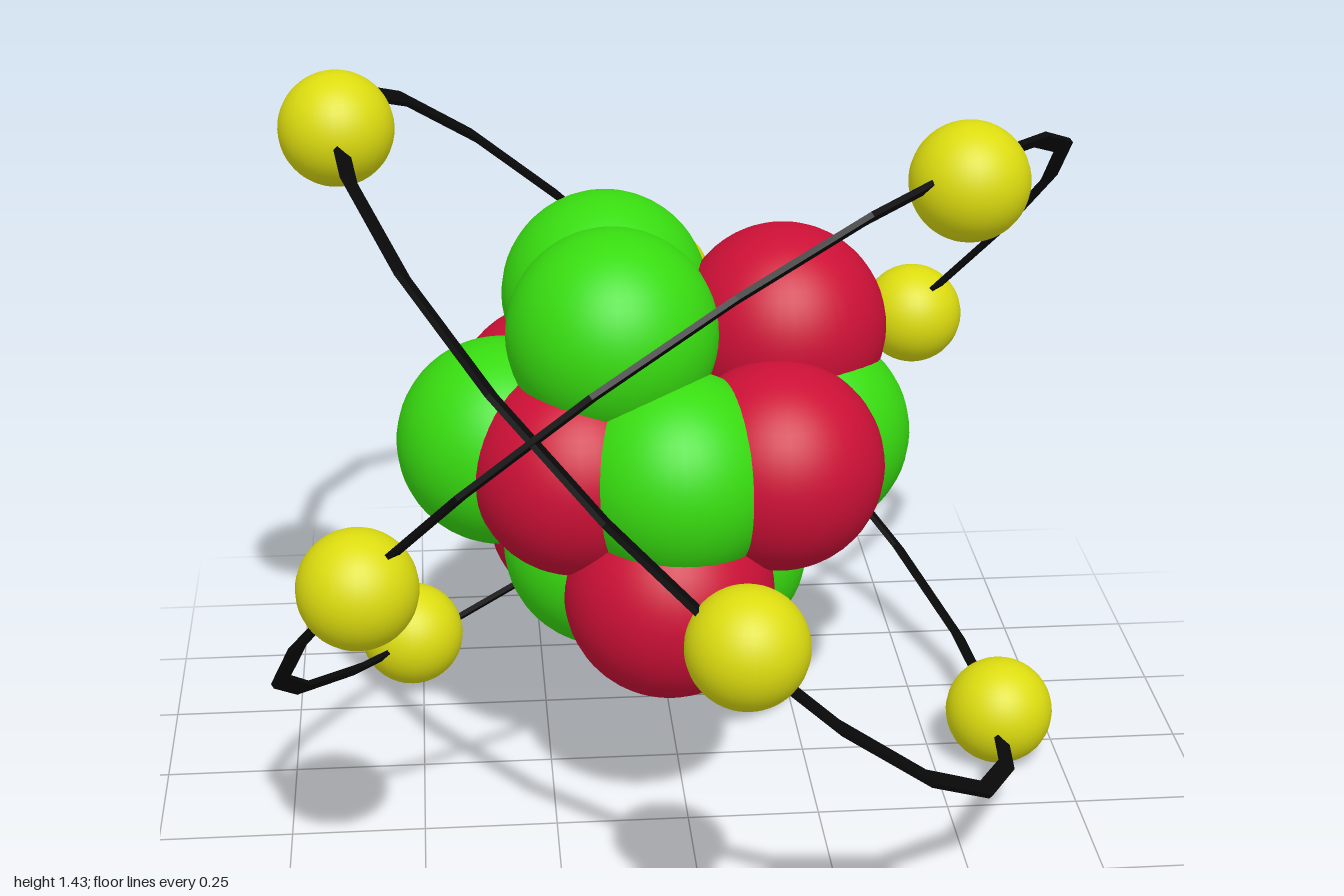
import * as THREE from 'three';

const material = (color) => new THREE.MeshStandardMaterial({ color });

export function createModel() {
  const model = new THREE.Group();
  model.name = 'atom';

  const red = material(0xcc1036);
  const green = material(0x38dc10);
  const yellow = material(0xdcdc10);
  const black = material(0x0a0a0a);
  black.flatShading = true;

  const addBalls = (group, name, geometry, mat, centres) => {
    for (const c of centres) {
      const ball = new THREE.Mesh(geometry, mat);
      ball.name = name;
      ball.position.set(...c);
      group.add(ball);
    }
  };

  // Nucleus: a cluster of overlapping balls
  const nucleus = new THREE.Group();
  nucleus.name = 'nucleus';
  const nucleon = new THREE.SphereGeometry(0.195, 40, 28);
  addBalls(nucleus, 'proton', nucleon, red, [
    [0.2, 0.9, -0.02],
    [0.17, 0.71, 0.2],
    [0.175, 0.71, -0.15],
    [-0.2, 0.7, 0.17],
    [-0.225, 0.69, -0.19],
    [-0.035, 0.48, 0.245],
    [-0.165, 0.49, -0.11],
    [0.13, 0.6, -0.13],
  ]);
  addBalls(nucleus, 'neutron', nucleon, green, [
    [-0.13, 0.95, 0.13],
    [-0.13, 0.95, -0.09],
    [0.24, 0.71, 0.04],
    [0.01, 0.71, -0.265],
    [-0.02, 0.71, 0.235],
    [-0.335, 0.71, 0.04],
    [0.05, 0.47, 0.03],
    [-0.14, 0.51, 0.08],
  ]);
  model.add(nucleus);

  // Orbits: thin flat twenty-sided rings, tilted 45 degrees and turned about y
  const inner = 0.872, outer = 0.906, half = 0.005;
  const profile = [
    [inner, -half], [outer, -half], [outer, half], [inner, half], [inner, -half],
  ].map(([r, y]) => new THREE.Vector2(r, y));
  const ringGeometry = new THREE.LatheGeometry(profile, 20);
  const addOrbit = (name, centre, turn) => {
    const ring = new THREE.Mesh(ringGeometry, black);
    ring.name = name;
    ring.position.set(...centre);
    ring.rotation.set(0, turn, -Math.PI / 4, 'YXZ');
    model.add(ring);
  };
  addOrbit('firstOrbit', [0.008, 0.703, 0], 0);
  addOrbit('secondOrbit', [0, 0.72, 0], 2.415);

  // Electrons: four small balls riding on each orbit
  const electron = new THREE.SphereGeometry(0.104, 32, 24);
  const electrons = new THREE.Group();
  electrons.name = 'electrons';
  addBalls(electrons, 'electron', electron, yellow, [
    [-0.615, 1.33, 0.06],
    [0.63, 0.108, 0.06],
    [0.04, 0.69, 0.896],
    [0.04, 0.69, -0.896],
    [0.46, 1.325, 0.44],
    [0.56, 0.66, -0.705],
    [-0.52, 0.12, -0.35],
    [-0.593, 0.71, 0.665],
  ]);
  model.add(electrons);

  return model;
}
